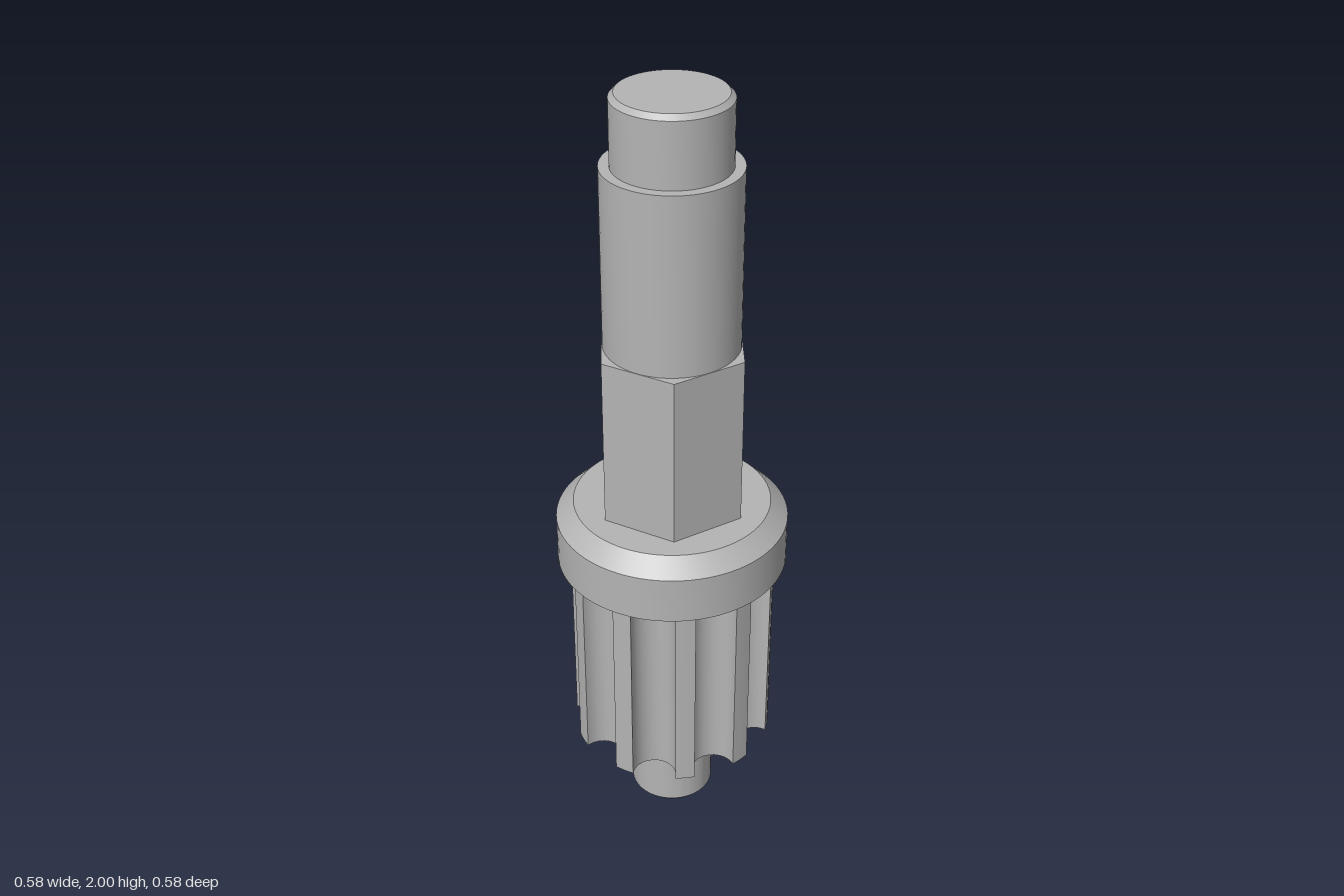
import * as THREE from 'three';
import { toCreasedNormals } from 'three/addons/utils/BufferGeometryUtils.js';

const steel = new THREE.MeshStandardMaterial({ color: 0xb4b4b4 });
steel.name = 'steel grey';
const TWIST = THREE.MathUtils.degToRad(3); // small turn shared by the hexagon and the pinion

function part(name, geometry) {
  const mesh = new THREE.Mesh(toCreasedNormals(geometry, 0.6), steel);
  mesh.name = name;
  return mesh;
}

// Turned part from [radius, height] pairs, bottom to top
function turned(name, profile) {
  return part(name, new THREE.LatheGeometry(profile.map(([r, y]) => new THREE.Vector2(r, y)), 72));
}

// Toothed pinion outline: arc tips separated by round-bottomed grooves
function pinionGeometry(teeth, outer, grooveRadius, grooveCentre, height) {
  const points = [];
  const pitch = (Math.PI * 2) / teeth;
  const tipHalf = pitch / 2 - Math.asin(grooveRadius / outer);
  const add = (radial, side, angle) => points.push(new THREE.Vector2(
    radial * Math.sin(angle) + side * Math.cos(angle),
    -radial * Math.cos(angle) + side * Math.sin(angle)));
  for (let k = 0; k < teeth; k++) {
    const tooth = TWIST + k * pitch;
    for (let i = -1; i <= 1; i++) add(outer, 0, tooth + i * tipHalf);
    for (let i = 0; i <= 12; i++) {
      const t = (i / 12) * Math.PI;
      add(grooveCentre - grooveRadius * Math.sin(t), -grooveRadius * Math.cos(t), tooth + pitch / 2);
    }
  }
  const geometry = new THREE.ExtrudeGeometry(new THREE.Shape(points), { depth: height, bevelEnabled: false });
  return geometry.rotateX(-Math.PI / 2);
}

export function createModel() {
  const model = new THREE.Group();
  model.name = 'pinionShaft';

  // Lower journal with a chamfered end and a slight step
  model.add(turned('lowerJournal', [
    [0, 0], [0.098, 0], [0.108, 0.012], [0.108, 0.165], [0.112, 0.165], [0.112, 0.24], [0, 0.24]]));

  // Ten-tooth pinion
  const pinion = part('pinion', pinionGeometry(10, 0.26, 0.056, 0.25, 0.55));
  pinion.position.y = 0.23;
  model.add(pinion);

  // Collar with a chamfered upper rim
  model.add(turned('collar', [[0, 0.775], [0.29, 0.775], [0.29, 0.897], [0.246, 0.94], [0, 0.94]]));

  // Hexagonal section
  const hexagon = part('hexagon', new THREE.CylinderGeometry(0.192, 0.192, 0.445, 6));
  hexagon.position.y = 1.1575;
  hexagon.rotation.y = Math.PI / 6 + TWIST;
  model.add(hexagon);

  // Upper shaft and its stepped, chamfered tip
  model.add(turned('upperShaft', [[0, 1.37], [0.165, 1.37], [0.165, 1.83], [0, 1.83]]));
  model.add(turned('shaftTip', [[0, 1.82], [0.14, 1.82], [0.14, 1.988], [0.128, 2], [0, 2]]));

  return model;
}
